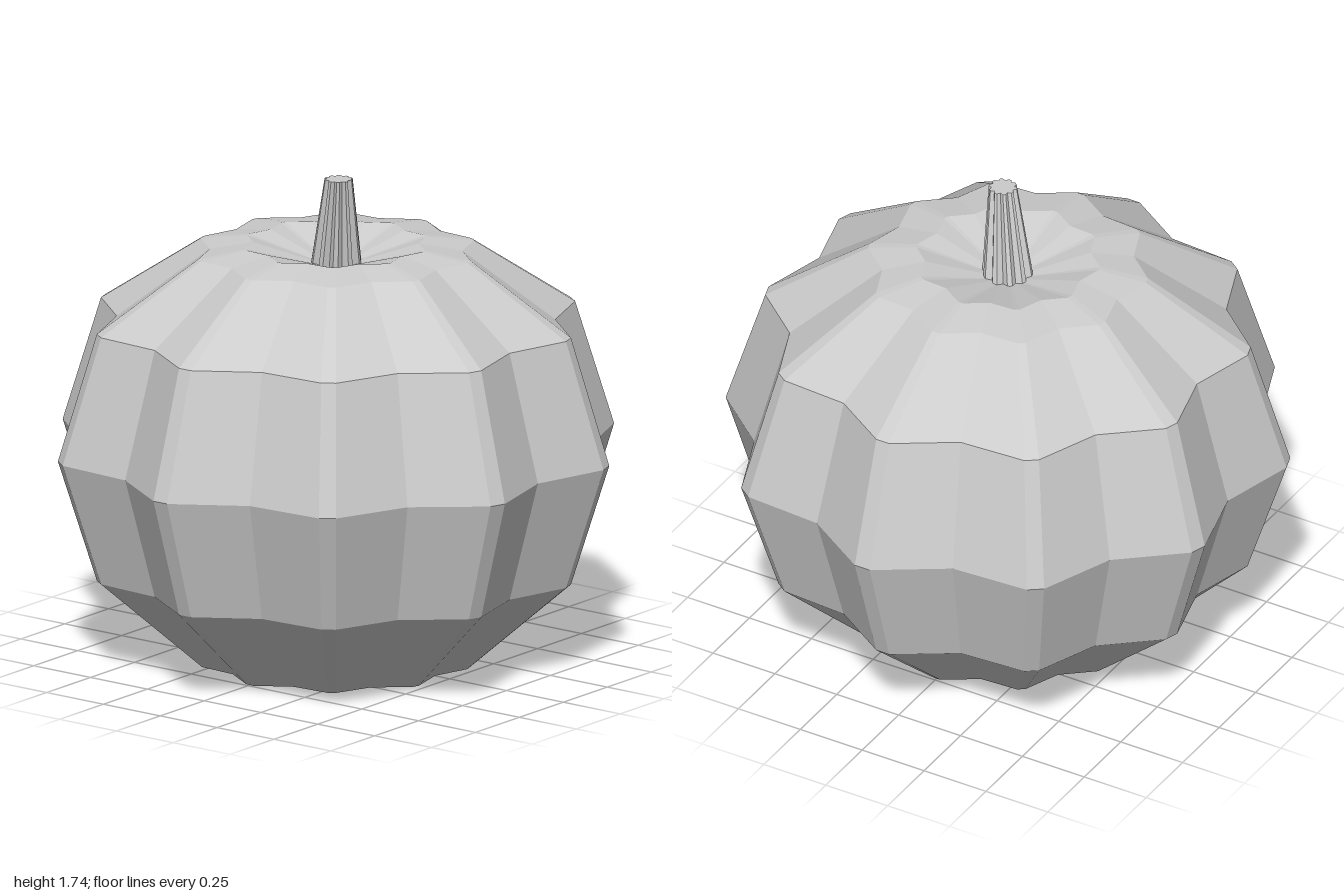
import * as THREE from 'three';

const LOBES = 10;

// Lobed outline: each lobe has a narrow blunt tip, then a valley
function outline(valley, tipHalfAngle) {
  const points = [];
  for (let i = 0; i < LOBES; i++) {
    const a = (i / LOBES) * Math.PI * 2;
    points.push([a - tipHalfAngle, 1], [a + tipHalfAngle, 1], [a + Math.PI / LOBES, valley]);
  }
  return points;
}

// Skin a stack of rings [radius, y, centreX, centreZ] sharing one outline
function loft(section, rings) {
  const positions = [];
  const point = ([r, y, cx = 0, cz = 0], j) => {
    const [a, s] = section[j % section.length];
    return [cx + Math.cos(a) * r * s, y, cz + Math.sin(a) * r * s];
  };
  for (let i = 0; i < rings.length - 1; i++) {
    const low = rings[i], high = rings[i + 1];
    for (let j = 0; j < section.length; j++) {
      const a = point(low, j), b = point(low, j + 1);
      const c = point(high, j), d = point(high, j + 1);
      if (high[0] > 0) positions.push(...a, ...c, ...d);
      if (low[0] > 0) positions.push(...a, ...d, ...b);
    }
  }
  const geometry = new THREE.BufferGeometry();
  geometry.setAttribute('position', new THREE.Float32BufferAttribute(positions, 3));
  geometry.computeVertexNormals();
  return geometry;
}

export function createModel() {
  const group = new THREE.Group();
  group.name = 'pumpkin';
  const material = new THREE.MeshStandardMaterial({ color: 0xcccccc, flatShading: true });

  // Ribbed body with a hollow underside and a dished crown
  const body = new THREE.Mesh(loft(outline(0.888, 0.03), [
    [0, 0.08], [0.49, 0], [0.86, 0.33], [1, 0.77],
    [0.86, 1.22], [0.495, 1.465], [0.325, 1.49], [0, 1.4],
  ]), material);
  body.name = 'body';

  // Fluted stem, tapering and leaning to one corner
  const stem = new THREE.Mesh(loft(outline(0.8, 0.1), [
    [0.093, 1.39], [0.05, 1.74, -0.05, 0.05], [0, 1.74, -0.05, 0.05],
  ]), material);
  stem.name = 'stem';

  group.add(body, stem);
  return group;
}
